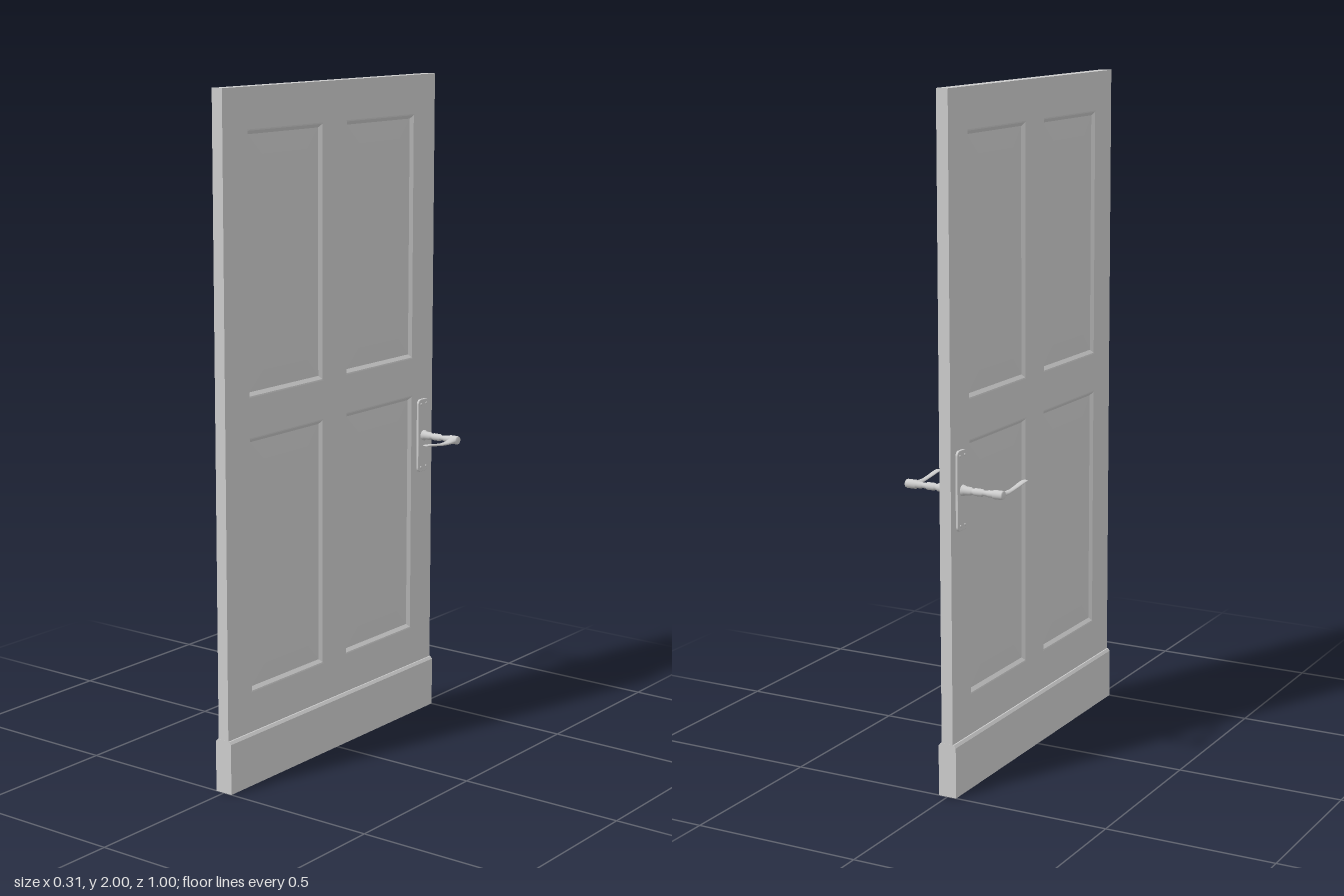
import * as THREE from 'three';

const mat = new THREE.MeshStandardMaterial({ color: 0xcccccc });
const flat = new THREE.MeshStandardMaterial({ color: 0xcccccc, flatShading: true });
const HALF = 0.018; // half thickness of the leaf

function add(parent, name, geometry, material = mat) {
  const mesh = new THREE.Mesh(geometry, material);
  mesh.name = name;
  parent.add(mesh);
  return mesh;
}

// Skin a list of equal-length closed rings, capping the last (and optionally first) ring
function loft(rings, capStart) {
  const n = rings[0].length, index = [];
  for (let i = 0; i < rings.length - 1; i++) {
    for (let j = 0; j < n; j++) {
      const k = (j + 1) % n, a = i * n + j, b = i * n + k;
      index.push(a, b, b + n, a, b + n, a + n);
    }
  }
  const last = (rings.length - 1) * n;
  for (let j = 1; j < n - 1; j++) {
    index.push(last, last + j, last + j + 1);
    if (capStart) index.push(0, j + 1, j);
  }
  const g = new THREE.BufferGeometry();
  g.setAttribute('position', new THREE.Float32BufferAttribute(rings.flat(2), 3));
  g.setIndex(index);
  g.computeVertexNormals();
  return g;
}

function rect(path, x0, y0, x1, y1) {
  path.moveTo(x0, y0);
  path.lineTo(x1, y0);
  path.lineTo(x1, y1);
  path.lineTo(x0, y1);
  path.closePath();
  return path;
}

// Sunk moulding rising gently to a flat raised field; drawn in xy, facing +z
function panelGeometry(w, h) {
  const steps = [[0, HALF], [0.004, 0.017], [0.014, 0.009], [0.07, 0.013]];
  return loft(steps.map(([inset, depth]) => {
    const a = w / 2 - inset, b = h / 2 - inset;
    return [[-a, -b, depth], [a, -b, depth], [a, b, depth], [-a, b, depth]];
  }), false);
}

// Handle set, on the side given by s = 1 or -1
function createHandle(s) {
  const group = new THREE.Group();
  group.name = s > 0 ? 'leftHandle' : 'rightHandle';
  const Y = 0.89, Z = -0.446;

  // Back plate with rounded corners
  const a = 0.027, b = 0.115, r = 0.014;
  const shape = new THREE.Shape();
  shape.absarc(a - r, b - r, r, 0, Math.PI / 2);
  shape.absarc(r - a, b - r, r, Math.PI / 2, Math.PI);
  shape.absarc(r - a, r - b, r, Math.PI, Math.PI * 1.5);
  shape.absarc(a - r, r - b, r, Math.PI * 1.5, Math.PI * 2);
  const plate = add(group, 'backPlate', new THREE.ExtrudeGeometry(shape, {
    depth: 0.005, bevelThickness: 0.002, bevelSize: 0.002, bevelOffset: -0.002,
    bevelSegments: 2, curveSegments: 6,
  }));
  plate.position.set(s * 0.018, Y, Z);
  plate.rotation.y = s * Math.PI / 2;

  // Screws in the plate corners
  for (const dy of [-0.1, 0.1]) for (const dz of [-0.013, 0.013]) {
    const screw = add(group, 'screw', new THREE.SphereGeometry(0.004, 10, 6));
    screw.scale.x = 0.5;
    screw.position.set(s * 0.0255, Y + dy, Z + dz);
  }

  // Turned neck and hub
  const profile = [[0.02, 0.016], [0.03, 0.016], [0.033, 0.013], [0.052, 0.012], [0.056, 0.009],
    [0.062, 0.009], [0.065, 0.011], [0.088, 0.011], [0.092, 0.008], [0.104, 0.008],
    [0.107, 0.01], [0.122, 0.01], [0.125, 0.013], [0.152, 0.013], [0.156, 0.011], [0.156, 0]];
  const neck = add(group, 'neck', new THREE.LatheGeometry(
    profile.map(([x, rad]) => new THREE.Vector2(rad, x)), 20));
  neck.rotation.z = -s * Math.PI / 2;
  neck.position.set(0, Y, Z);

  // Lever: elliptical sections as [z, y, half width, half height]
  const sections = [[-0.448, 0.89, 0.015, 0.01], [-0.43, 0.888, 0.0145, 0.008],
    [-0.405, 0.886, 0.011, 0.005], [-0.375, 0.887, 0.008, 0.004], [-0.345, 0.891, 0.0085, 0.0035],
    [-0.315, 0.896, 0.0095, 0.003], [-0.295, 0.898, 0.0095, 0.0025], [-0.288, 0.898, 0.007, 0.0015]];
  const rings = sections.map(([z, y, w, h]) => Array.from({ length: 14 }, (_, i) => {
    const t = i / 14 * Math.PI * 2;
    return [w * Math.cos(t), y + h * Math.sin(t), z];
  }));
  add(group, 'lever', loft(rings, true)).position.x = s * 0.14;
  return group;
}

export function createModel() {
  const door = new THREE.Group();
  door.name = 'door';

  // Stiles and rails with four openings
  const frame = rect(new THREE.Shape(), -0.5, 0, 0.5, 2);
  const openings = [];
  for (const z of [-0.225, 0.225]) {
    openings.push({ z, y0: 0.277, y1: 1.023 }, { z, y0: 1.138, y1: 1.884 });
  }
  const w = 0.342;
  for (const { z, y0, y1 } of openings) {
    frame.holes.push(rect(new THREE.Path(), z - w / 2, y0, z + w / 2, y1));
  }
  const leaf = add(door, 'stilesAndRails',
    new THREE.ExtrudeGeometry(frame, { depth: HALF * 2, bevelEnabled: false }), flat);
  leaf.rotation.y = Math.PI / 2;
  leaf.position.x = -HALF;

  for (const s of [-1, 1]) {
    // Moulded panels on both faces
    for (const { z, y0, y1 } of openings) {
      const panel = add(door, 'panel', panelGeometry(w, y1 - y0), flat);
      panel.position.set(0, (y0 + y1) / 2, z);
      panel.rotation.y = s * Math.PI / 2;
    }
    door.add(createHandle(s));
  }

  // Kick board wrapping the foot, with a small chamfer at its top
  const kick = new THREE.Shape();
  [[-0.028, 0], [0.028, 0], [0.028, 0.15], [0.022, 0.158], [-0.022, 0.158], [-0.028, 0.15]]
    .forEach(([x, y], i) => (i ? kick.lineTo(x, y) : kick.moveTo(x, y)));
  const board = add(door, 'kickBoard',
    new THREE.ExtrudeGeometry(kick, { depth: 1.001, bevelEnabled: false }), flat);
  board.position.z = -0.5005;

  return door;
}
